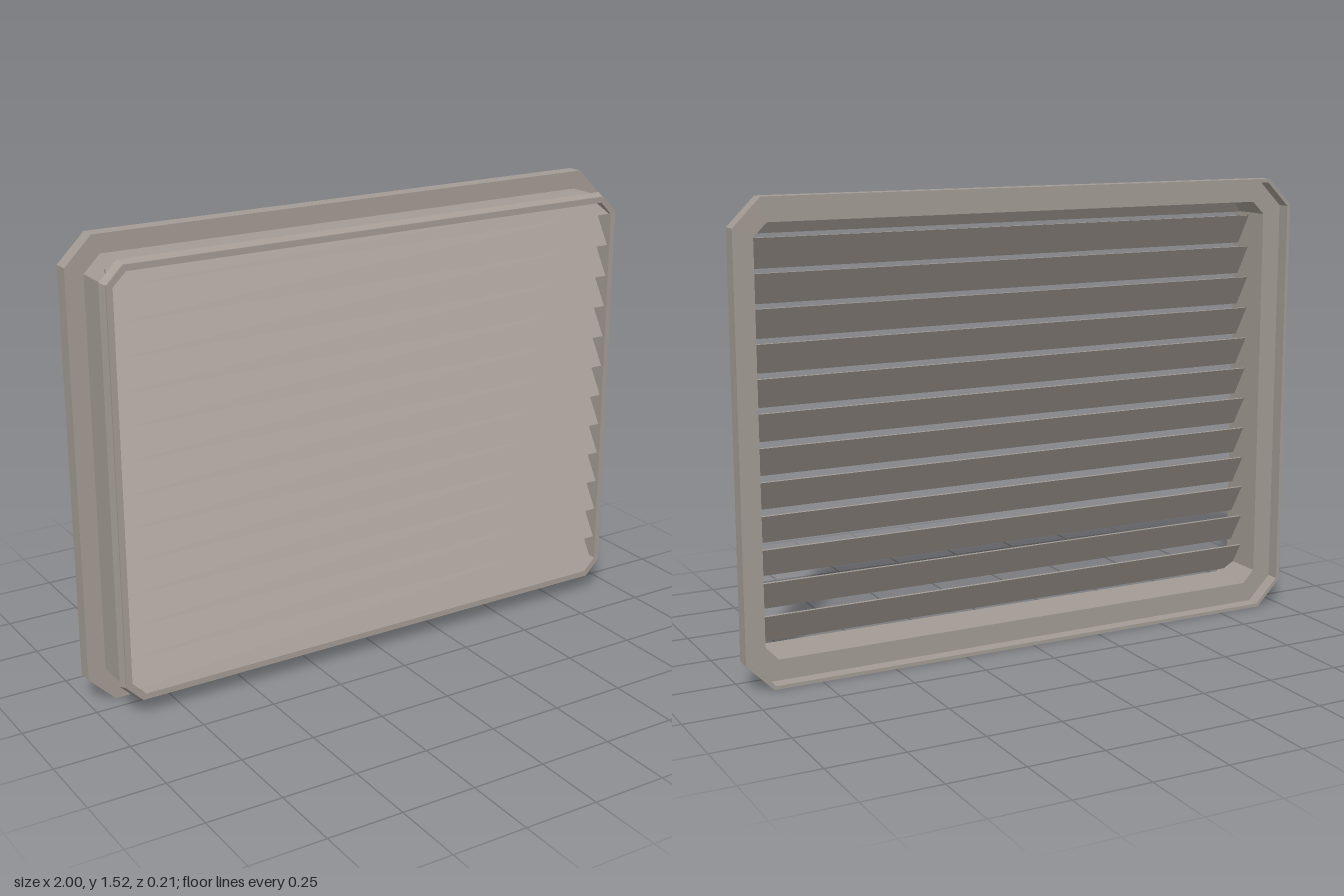
import * as THREE from 'three';

const HALF_W = 1, HALF_H = 0.76, CHAMFER = 0.09;

// Chamfered rectangle, counter-clockwise, inset evenly by o
function cornerLoop(o) {
  const w = HALF_W - o, h = HALF_H - o, c = CHAMFER - o * (2 - Math.SQRT2);
  return [
    [w, -h + c], [w, h - c], [w - c, h], [-w + c, h],
    [-w, h - c], [-w, -h + c], [-w + c, -h], [w - c, -h],
  ];
}

// Sweeps a closed [inset, z] section around the chamfered rectangle
function sweepFrame(section) {
  const rings = section.map(([o, z]) => cornerLoop(o).map(([x, y]) => [x, y + HALF_H, z]));
  const pos = [];
  for (let j = 0; j < rings.length; j++) {
    const a = rings[j], b = rings[(j + 1) % rings.length];
    for (let i = 0; i < 8; i++) {
      const k = (i + 1) % 8;
      pos.push(...a[i], ...a[k], ...b[k], ...a[i], ...b[k], ...b[i]);
    }
  }
  const geo = new THREE.BufferGeometry();
  geo.setAttribute('position', new THREE.Float32BufferAttribute(pos, 3));
  geo.computeVertexNormals();
  return geo;
}

// Sloping blade: low edge at the front, high edge at the back
function slatGeometry(bottom, top) {
  const rise = 0.1, run = 0.06, t = 0.012, front = 0.095, half = 0.922;
  const f = Math.min(1, (top - bottom) / rise);
  const yTop = bottom + rise * f, back = front - run * f;
  const shape = new THREE.Shape([
    new THREE.Vector2(front, bottom), new THREE.Vector2(back, yTop),
    new THREE.Vector2(back - t, yTop), new THREE.Vector2(front - t, bottom),
  ]);
  const geo = new THREE.ExtrudeGeometry(shape, { depth: 2 * half, bevelEnabled: false });
  geo.rotateY(-Math.PI / 2);
  geo.translate(half, 0, 0);
  return geo;
}

export function createModel() {
  const group = new THREE.Group();
  group.name = 'louvreVent';
  const plastic = new THREE.MeshStandardMaterial({ color: 0xa39b94 });
  plastic.name = 'warm grey plastic';

  // Duct frame with snap ridge, mounting flange and raised back lip
  const frame = new THREE.Mesh(sweepFrame([
    [0, -0.107], [0, -0.053], [0.06, -0.053],
    [0.06, 0.068], [0.05, 0.076], [0.06, 0.1], [0.06, 0.107],
    [0.08, 0.107], [0.08, -0.062], [0.012, -0.062], [0.012, -0.107],
  ]), plastic);
  frame.name = 'frame';
  group.add(frame);

  // Stack of louvre blades, the last one cut off by the frame
  const slats = new THREE.Group();
  slats.name = 'slats';
  for (let i = 0; i < 13; i++) {
    const slat = new THREE.Mesh(slatGeometry(0.095 + i * 0.1083, 1.442), plastic);
    slat.name = 'slat' + (i + 1);
    slats.add(slat);
  }
  group.add(slats);
  return group;
}
